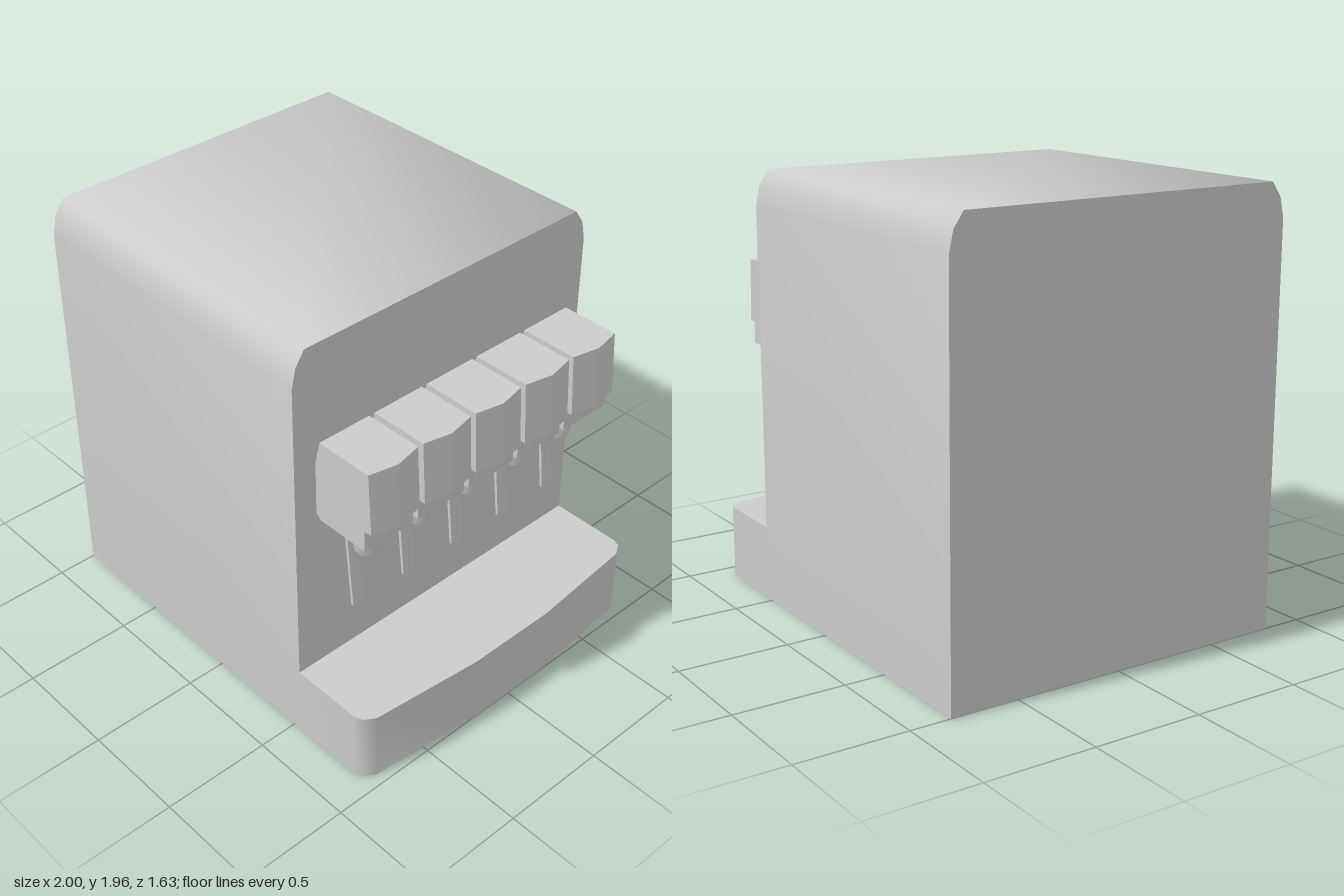
import * as THREE from 'three';
import { toCreasedNormals } from 'three/addons/utils/BufferGeometryUtils.js';

const material = new THREE.MeshStandardMaterial({ color: 0xcccccc, side: THREE.DoubleSide });
const BACK = -1, WALL = 0.54, HALF = 0.815, TOP = 1.955, TRAY = 0.34;

function part(name, geometry, parent) {
  const mesh = new THREE.Mesh(geometry, material);
  mesh.name = name;
  parent.add(mesh);
  return mesh;
}

// Open strip of quads joining two rows of points
function ribbon(rowA, rowB) {
  const g = new THREE.BufferGeometry();
  const index = [];
  const n = rowA.length;
  for (let i = 0; i < n - 1; i++) index.push(i, i + 1, n + i, i + 1, n + i + 1, n + i);
  g.setAttribute('position', new THREE.Float32BufferAttribute([...rowA, ...rowB].flat(), 3));
  g.setIndex(index);
  return toCreasedNormals(g, 1.1);
}

const shapeOf = (pts) => new THREE.Shape(pts.map(([a, b]) => new THREE.Vector2(a, b)));

// Extrude a side profile (x, y) to a width centred on z = 0
function slab(pts, width, steps = 1) {
  const g = new THREE.ExtrudeGeometry(shapeOf(pts), { depth: width, steps, bevelEnabled: false });
  return g.translate(0, 0, -width / 2);
}

// Mirror half an outline about its second coordinate
const mirrored = (half) => [...half, ...half.map(([a, b]) => [a, -b]).reverse()];

// Valve head with a pointed front panel
function headGeometry() {
  const g = slab([
    [0.54, 1.155], [0.565, 1.13], [0.82, 1.13], [0.82, 1.23],
    [0.857, 1.23], [0.838, 1.515], [0.565, 1.515], [0.54, 1.41],
  ], 0.26, 2);
  const p = g.attributes.position;
  for (let i = 0; i < p.count; i++) {
    if (Math.abs(p.getZ(i)) < 0.01 && p.getX(i) > 0.83) p.setX(i, p.getX(i) + 0.027);
  }
  g.computeVertexNormals();
  return g;
}

export function createModel() {
  const model = new THREE.Group();
  model.name = 'drinkDispenser';

  // Cabinet: hollow, open underneath, softened upper edges; entries are [y, z]
  const cabinet = new THREE.Group();
  cabinet.name = 'cabinet';
  model.add(cabinet);
  const arch = mirrored([[0, HALF], [1.8, HALF], [1.89, 0.795], [TOP, 0.75]]);
  part('cabinetShell', ribbon(
    arch.map(([y, z]) => [BACK, y, z]),
    arch.map(([y, z]) => [WALL, y, z]),
  ), cabinet);

  // End walls; the inner one stops at the tray
  const endWall = (name, x, bottom, turn) => {
    const pts = arch.map(([y, z]) => [z, Math.max(y, bottom)]);
    const wall = part(name, new THREE.ShapeGeometry(shapeOf(pts)), cabinet);
    wall.rotation.y = turn;
    wall.position.x = x;
  };
  endWall('cabinetEnd', BACK, 0, -Math.PI / 2);
  endWall('dispensingWall', WALL, TRAY, Math.PI / 2);

  // Drip tray base with a bowed leading edge; entries are [x, z]
  const tray = new THREE.Group();
  tray.name = 'dripTray';
  model.add(tray);
  const bow = mirrored([[WALL, HALF], [0.88, HALF], [0.917, 0.803], [0.95, 0.75], [1, 0.22]]);
  part('trayRim', ribbon(
    bow.map(([x, z]) => [x, 0, z]),
    bow.map(([x, z]) => [x, TRAY, z]),
  ), tray);
  const trayTop = part('trayTop', new THREE.ShapeGeometry(shapeOf(bow.map(([x, z]) => [x, -z]))), tray);
  trayTop.rotation.x = -Math.PI / 2;
  trayTop.position.y = TRAY;

  // Row of five valves, each with head, nozzle and lever
  const head = headGeometry();
  const nozzle = toCreasedNormals(
    new THREE.CylinderGeometry(0.07, 0.048, 0.145, 6).rotateY(Math.PI / 2), 1.1);
  const lever = slab([[0.587, 1.13], [0.637, 0.665], [0.65, 0.665], [0.602, 1.13]], 0.065);
  for (let i = -2; i <= 2; i++) {
    const valve = new THREE.Group();
    valve.name = 'valve' + (i + 3);
    valve.position.z = i * 0.2875;
    model.add(valve);
    part('valveHead', head, valve);
    part('nozzle', nozzle, valve).position.set(0.691, 1.0575, 0);
    part('lever', lever, valve);
  }
  return model;
}
